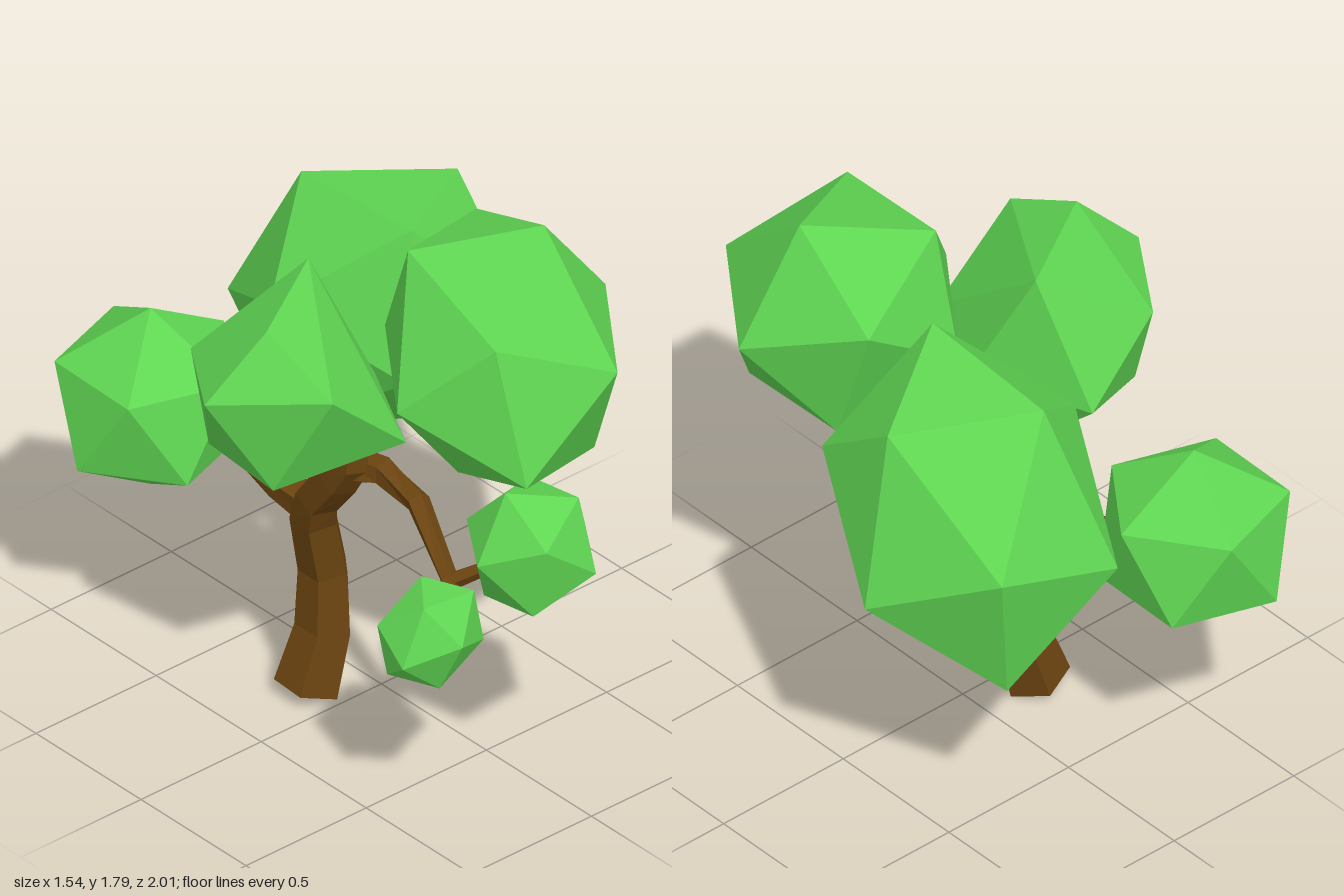
import * as THREE from 'three';
import { ConvexGeometry } from 'three/addons/geometries/ConvexGeometry.js';

const V = (p) => new THREE.Vector3(...p);
const leafMat = new THREE.MeshStandardMaterial({ color: 0x5fd552, flatShading: true });
const barkMat = new THREE.MeshStandardMaterial({ color: 0x6b4410, flatShading: true });

// Icosahedron stretched so that its first face has the corners a, b, c
// (relative to the centre, counter-clockwise from outside).
function leafBall(center, a, b, c) {
  const geo = new THREE.IcosahedronGeometry(1, 0);
  const pos = geo.attributes.position;
  const corner = (i) => new THREE.Vector3().fromBufferAttribute(pos, i);
  const source = new THREE.Matrix4().makeBasis(corner(0), corner(1), corner(2));
  const target = new THREE.Matrix4().makeBasis(V(a), V(b), V(c));
  geo.applyMatrix4(target.multiply(source.invert()));
  geo.translate(...center);
  geo.computeVertexNormals();
  return geo;
}

// Faceted limb through points [x, y, z, radius], closed at both ends.
function limb(path, sides = 5) {
  const pts = path.map(V);
  const verts = [], index = [];
  const n = pts.length;
  pts.forEach((p, i) => {
    const dir = pts[Math.min(i + 1, n - 1)].clone().sub(pts[Math.max(i - 1, 0)]).normalize();
    const turn = new THREE.Quaternion().setFromUnitVectors(new THREE.Vector3(0, 1, 0), dir);
    for (let s = 0; s < sides; s++) {
      const t = (s / sides) * Math.PI * 2 + 0.3;
      const v = new THREE.Vector3(Math.sin(t), 0, Math.cos(t)).multiplyScalar(path[i][3]);
      verts.push(...v.applyQuaternion(turn).add(p).toArray());
    }
  });
  for (let i = 0; i < n - 1; i++) {
    for (let s = 0; s < sides; s++) {
      const a = i * sides + s, b = i * sides + ((s + 1) % sides);
      index.push(a, b, b + sides, a, b + sides, a + sides);
    }
  }
  const top = (n - 1) * sides;
  for (let s = 1; s < sides - 1; s++) index.push(0, s + 1, s, top, top + s, top + s + 1);
  const geo = new THREE.BufferGeometry();
  geo.setAttribute('position', new THREE.Float32BufferAttribute(verts, 3));
  geo.setIndex(index);
  const flat = geo.toNonIndexed();
  flat.computeVertexNormals();
  return flat;
}

export function createModel() {
  const tree = new THREE.Group();
  tree.name = 'tree';
  const add = (name, geo, mat) => {
    const mesh = new THREE.Mesh(geo, mat);
    mesh.name = name;
    tree.add(mesh);
  };

  // Trunk and branches
  const limbs = {
    trunk: [[-0.21, 0.035, -0.11, 0.11], [-0.15, 0.24, -0.1, 0.095], [-0.14, 0.45, -0.11, 0.085],
      [-0.19, 0.67, -0.1, 0.08], [-0.21, 0.77, -0.06, 0.075], [-0.22, 0.9, 0.05, 0.07],
      [-0.22, 0.99, 0.11, 0.065], [-0.22, 1.12, 0.125, 0.045]],
    frontBranch: [[-0.2, 0.95, 0.07, 0.065], [-0.16, 0.97, 0.2, 0.048], [-0.18, 0.955, 0.38, 0.04],
      [-0.25, 0.82, 0.6, 0.03], [-0.26, 0.78, 0.64, 0.028]],
    frontTwigInner: [[-0.25, 0.8, 0.61, 0.03], [-0.19, 0.85, 0.68, 0.025], [-0.12, 0.9, 0.75, 0.02]],
    frontTwigOuter: [[-0.25, 0.81, 0.61, 0.03], [-0.29, 0.76, 0.645, 0.025], [-0.35, 0.72, 0.67, 0.02]],
    backBranch: [[-0.19, 0.71, -0.08, 0.075], [-0.21, 0.73, -0.24, 0.055], [-0.215, 0.8, -0.45, 0.045],
      [-0.3, 0.86, -0.65, 0.03]],
    backTwig: [[-0.215, 0.78, -0.43, 0.04], [-0.11, 0.88, -0.5, 0.03], [0.05, 1.0, -0.48, 0.025]],
  };
  for (const [name, path] of Object.entries(limbs)) add(name, limb(path), barkMat);

  // Leaf clumps: centre, then three corners of one face
  const clumps = {
    topLeaves: [[0.145, 1.4, 0.405], [0.175, 0.39, 0.005], [-0.255, 0.23, 0.265], [0.13, 0.055, 0.405]],
    leftLeaves: [[0.315, 1.135, -0.39], [0.452, -0.165, -0.015], [0.282, 0.385, 0.07], [0.225, 0.1, 0.445]],
    backLeaves: [[-0.34, 0.88, -0.71], [0, 0.33, 0], [0.305, 0.15, 0], [0.1, 0.15, -0.29]],
    frontLeaves: [[-0.075, 0.95, 0.8], [0.225, -0.02, 0], [0.11, 0.185, 0.1], [0.09, -0.04, 0.205]],
    smallFrontLeaves: [[-0.39, 0.705, 0.68], [-0.02, 0.035, 0.175], [0.115, 0.145, 0.075], [-0.08, 0.15, 0.06]],
  };
  for (const [name, shape] of Object.entries(clumps)) add(name, leafBall(...shape), leafMat);

  // Irregular clump on the right
  const rightCorners = [[-0.56, 1.616, 0.095], [-0.19, 1.62, -0.13], [-0.768, 1.4, 0.037],
    [-0.535, 1.474, 0.38], [-0.235, 1.204, 0.386], [-0.063, 1.22, 0.04], [-0.616, 1.09, 0.19],
    [-0.26, 0.9, -0.03], [-0.566, 1.38, -0.26], [-0.233, 1.2, -0.35], [-0.57, 1.07, -0.17]];
  add('rightLeaves', new ConvexGeometry(rightCorners.map(V)), leafMat);
  return tree;
}
